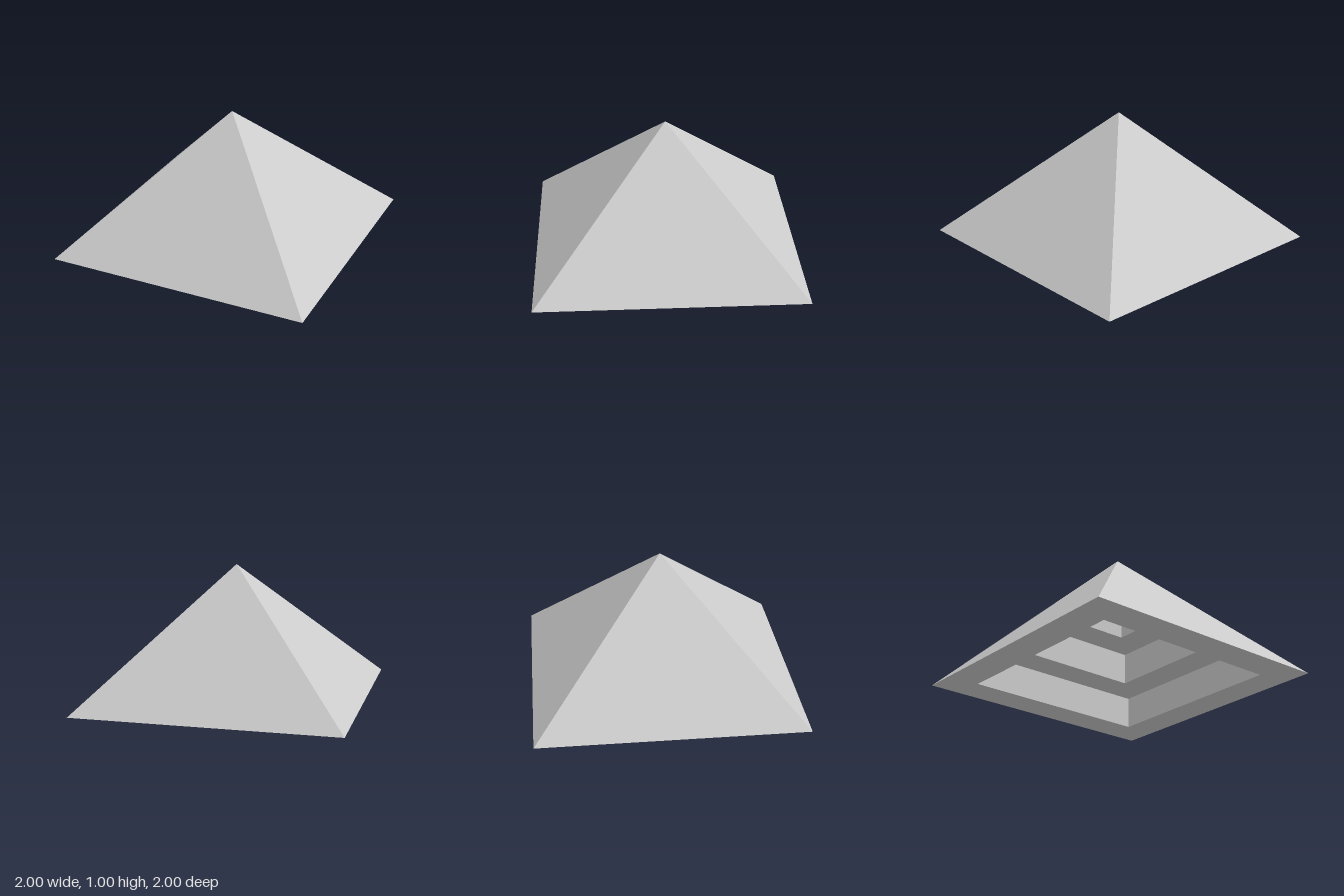
import * as THREE from 'three';

// Square-plan surface of revolution; profile points are [half width, height]
function squareLathe(name, profile) {
  const points = profile.map(([half, y]) => new THREE.Vector2(half * Math.SQRT2, y));
  const geometry = new THREE.LatheGeometry(points, 4, Math.PI / 4).toNonIndexed();
  geometry.computeVertexNormals();
  const material = new THREE.MeshStandardMaterial({ color: 0xcccccc, flatShading: true });
  const mesh = new THREE.Mesh(geometry, material);
  mesh.name = name;
  return mesh;
}

export function createModel() {
  const group = new THREE.Group();
  group.name = 'steppedPyramid';
  const step = 0.25;

  // Four smooth sloping sides
  group.add(squareLathe('slopingSides', [[1, 0], [0, 1]]));

  // Hollow underside rising in square steps towards the apex
  const profile = [[0, 3 * step]];
  for (let i = 3; i > 0; i--) {
    const half = 1 - i * step;
    profile.push([half, i * step], [half, (i - 1) * step]);
  }
  profile.push([1, 0]);
  group.add(squareLathe('steppedUnderside', profile));

  return group;
}
